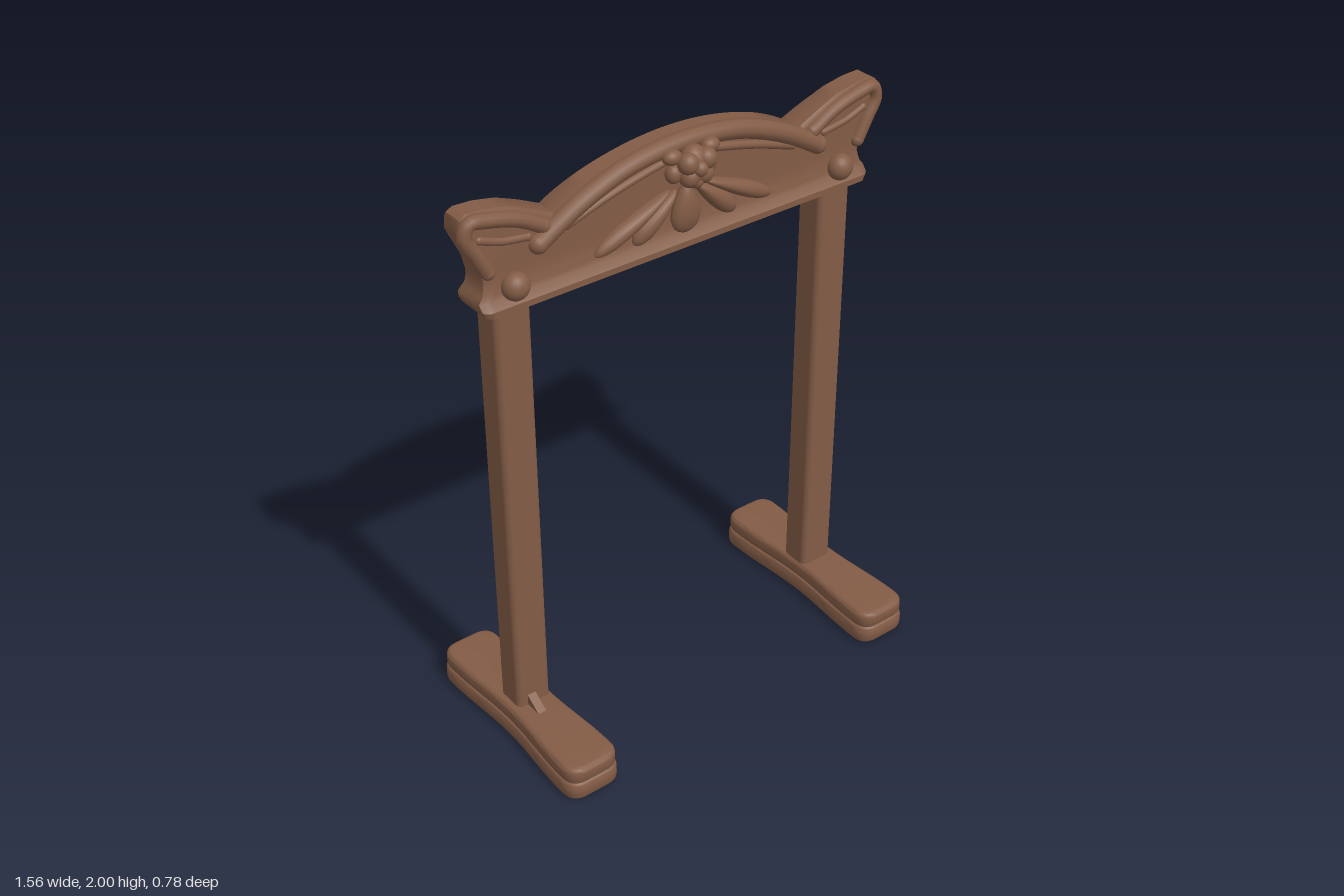
import * as THREE from 'three';
import { toCreasedNormals, mergeVertices } from 'three/addons/utils/BufferGeometryUtils.js';
import { RoundedBoxGeometry } from 'three/addons/geometries/RoundedBoxGeometry.js';

// Piecewise-linear lookup through [input, output] pairs
function lookup(table, v) {
  if (v <= table[0][0]) return table[0][1];
  for (let i = 1; i < table.length; i++) {
    const [a, p] = table[i - 1], [b, q] = table[i];
    if (v <= b) return p + (q - p) * (v - a) / (b - a);
  }
  return table[table.length - 1][1];
}

// Outline and thickness rules of the carved header
const EAR = [[0.6, 1.87], [0.68, 1.905], [0.77, 1.94], [0.87, 1.957], [0.95, 1.96], [0.98, 1.945], [1, 1.91]];
const topAt = u => Math.abs(u) < 0.6 ? 1.99 - 0.12 * Math.pow(Math.abs(u) / 0.6, 2) : lookup(EAR, Math.abs(u));
const HALF = [[1.62, 0.695], [1.635, 0.722], [1.67, 0.724], [1.69, 0.708], [1.73, 0.7], [1.79, 0.715], [1.88, 0.76], [1.94, 0.785]];
const FRONT = [[1.62, 0.045], [1.63, 0.062], [1.65, 0.062], [1.67, 0.04], [1.72, 0.03], [2, 0.03]];
const BACK = [[1.62, -0.085], [1.63, -0.1], [1.66, -0.1], [1.7, -0.085], [1.82, -0.08], [1.9, -0.07], [2, -0.045]];

function headerGeometry() {
  const us = [];
  for (let i = 0; i <= 80; i++) us.push(-1 + i / 40);
  const stations = [[-1, 0], [-1, 0.8], ...us.slice(1, -1).map(u => [u, 1]), [1, 0.8], [1, 0]];
  const pos = [], idx = [], low = [1.62, 1.63, 1.65, 1.67], rows = 14, n = (low.length + rows) * 2;
  for (const [u, squash] of stations) {
    const top = topAt(u), ys = [...low];
    for (let k = 1; k <= rows; k++) ys.push(1.67 + (top - 1.67) * k / rows);
    const point = (y, z, last) => {
      const zz = last ? -0.01 + (z + 0.01) * 0.75 : z;
      pos.push(u * lookup(HALF, y), y, -0.015 + (zz + 0.015) * squash);
    };
    ys.forEach((y, k) => point(y, lookup(FRONT, y), k === ys.length - 1));
    [...ys].reverse().forEach((y, k) => point(y, lookup(BACK, y), k === 0));
  }
  for (let i = 0; i < stations.length - 1; i++) {
    for (let j = 0; j < n; j++) {
      const a = i * n + j, d = i * n + (j + 1) % n, b = a + n, c = d + n;
      idx.push(a, b, c, a, c, d);
    }
  }
  const g = new THREE.BufferGeometry();
  g.setAttribute('position', new THREE.Float32BufferAttribute(pos, 3));
  g.setIndex(idx);
  return toCreasedNormals(mergeVertices(g), 0.8);
}

// Waisted plank with softly rounded edges, lying flat
function footGeometry(thick, grow) {
  const w = 0.085 + grow, l = 0.375 + grow, r = 0.045, s = new THREE.Shape();
  s.moveTo(-w + r, -l);
  s.lineTo(w - r, -l);
  s.quadraticCurveTo(w, -l, w, -l + r);
  s.bezierCurveTo(w, -0.2, w - 0.018, -0.12, w - 0.018, 0);
  s.bezierCurveTo(w - 0.018, 0.12, w, 0.2, w, l - r);
  s.quadraticCurveTo(w, l, w - r, l);
  s.lineTo(-w + r, l);
  s.quadraticCurveTo(-w, l, -w, l - r);
  s.bezierCurveTo(-w, 0.2, -w + 0.018, 0.12, -w + 0.018, 0);
  s.bezierCurveTo(-w + 0.018, -0.12, -w, -0.2, -w, -l + r);
  s.quadraticCurveTo(-w, -l, -w + r, -l);
  const bevel = 0.018;
  const g = new THREE.ExtrudeGeometry(s, {
    depth: thick - 2 * bevel, bevelEnabled: true, bevelSize: bevel, bevelOffset: -0.003,
    bevelThickness: bevel, bevelSegments: 4, curveSegments: 8,
  });
  g.translate(0, 0, bevel).rotateX(-Math.PI / 2);
  return toCreasedNormals(g, 0.9);
}

// Teardrop petal hanging along -y from its root, broad at the tip
function petalGeometry(length, width) {
  const g = new THREE.SphereGeometry(1, 20, 14), p = g.attributes.position;
  for (let i = 0; i < p.count; i++) {
    const t = (1 - p.getY(i)) / 2;
    const broad = 0.45 + 0.75 * t;
    p.setXYZ(i, p.getX(i) * width / 2 * broad, -t * length, p.getZ(i) * 0.032);
  }
  g.computeVertexNormals();
  return g;
}

export function createModel() {
  const model = new THREE.Group();
  const wood = new THREE.MeshStandardMaterial({ color: 0x835c46 });
  wood.name = 'brown wood';

  const add = (name, geometry, x = 0, y = 0, z = 0) => {
    const m = new THREE.Mesh(geometry, wood);
    m.name = name;
    m.position.set(x, y, z);
    model.add(m);
    return m;
  };
  const ball = (name, x, y, z, rx, ry = rx, rz = rx) =>
    add(name, new THREE.SphereGeometry(1, 20, 14), x, y, z).scale.set(rx, ry, rz);
  // Round moulding with ball ends
  const strand = (name, points, r) => {
    const pts = points.map(p => new THREE.Vector3(...p));
    add(name, new THREE.TubeGeometry(new THREE.CatmullRomCurve3(pts), 48, r, 10));
    for (const p of [pts[0], pts[pts.length - 1]]) ball(name + 'End', p.x, p.y, p.z, r);
  };
  // Small triangular fillet
  const wedge = (name, w, h, depth) => {
    const s = new THREE.Shape();
    s.moveTo(0, 0);
    s.lineTo(w, 0);
    s.lineTo(0, h);
    const g = new THREE.ExtrudeGeometry(s, { depth, bevelEnabled: false });
    g.translate(0, 0, -depth / 2);
    return add(name, g);
  };

  add('header', headerGeometry());

  // Arched moulding over the panel
  const arch = [];
  for (const [x, y] of [[0.52, 1.80], [0.45, 1.842], [0.35, 1.893], [0.2, 1.945]]) arch.push([x, y, 0.032]);
  strand('archRail', [...arch, [0, 1.967, 0.032], ...arch.map(([x, y, z]) => [-x, y, z]).reverse()], 0.031);

  for (const s of [1, -1]) {
    // Foot, post and round pegs
    add('footBase', footGeometry(0.07, 0), s * 0.62, 0, 0);
    add('footTop', footGeometry(0.064, -0.003), s * 0.62, 0.062, 0);
    add('post', new RoundedBoxGeometry(0.125, 1.56, 0.112, 4, 0.022), s * 0.612, 0.87, -0.025);
    ball('frontPeg', s * 0.61, 1.7, 0.045, 0.044, 0.044, 0.04);
    ball('backPeg', s * 0.61, 1.7, -0.095, 0.044, 0.044, 0.04);

    // Raised rim around the ear
    strand('earRim', [[0.5, 1.85], [0.58, 1.895], [0.68, 1.925], [0.742, 1.932], [0.758, 1.895],
      [0.725, 1.83], [0.69, 1.765]].map(([x, y]) => [s * x, y, 0.03]), 0.023);
    strand('earFold', [[0.55, 1.83], [0.64, 1.845], [0.71, 1.87]].map(([x, y]) => [s * x, y, 0.024]), 0.014);

    // Side petals and stems
    for (const [x, y, angle, length, width] of [[0.035, 1.82, 0.86, 0.205, 0.07], [0.06, 1.825, 1.12, 0.3, 0.06]]) {
      const petal = add('sidePetal', petalGeometry(length, width), s * x, y, 0.037);
      petal.rotation.z = s * angle;
    }
    strand('stem', [[0.06, 1.92], [0.16, 1.9], [0.28, 1.87], [0.42, 1.825]].map(([x, y]) => [s * x, y, 0.03]), 0.014);

    // Curled leaves beside the blossom
    ball('upperCurl', s * 0.07, 1.945, 0.065, 0.032, 0.024, 0.025);
    ball('lowerCurl', s * 0.065, 1.89, 0.065, 0.026, 0.03, 0.025);
    ball('blossomLobe', s * 0.033, 1.925, 0.095, 0.034, 0.034, 0.032);
    ball('blossomLobe', s * 0.026, 1.88, 0.09, 0.032, 0.034, 0.032);
  }

  // Blossom and centre petal
  ball('blossomCore', 0, 1.905, 0.075, 0.05, 0.065, 0.045);
  ball('blossomCentre', 0, 1.905, 0.105, 0.026, 0.026, 0.028);
  ball('blossomTip', 0, 1.86, 0.085, 0.026, 0.026, 0.028);
  add('centrePetal', petalGeometry(0.165, 0.115), 0, 1.835, 0.04);

  // Fillets at the joints of the right side
  const brace = wedge('postBrace', 0.08, -0.04, 0.08);
  brace.position.set(-0.552, 1.625, -0.03);
  brace.material = wood;
  brace.geometry = toCreasedNormals(new THREE.CylinderGeometry(0.045, 0.001, 0.045, 4).rotateY(Math.PI / 4), 0.3);
  brace.position.set(-0.535, 1.605, -0.03);
  const fillet = wedge('footFillet', 0.075, 0.05, 0.03);
  fillet.position.set(-0.625, 0.12, 0.025);
  fillet.rotation.y = -Math.PI / 2;

  return model;
}
